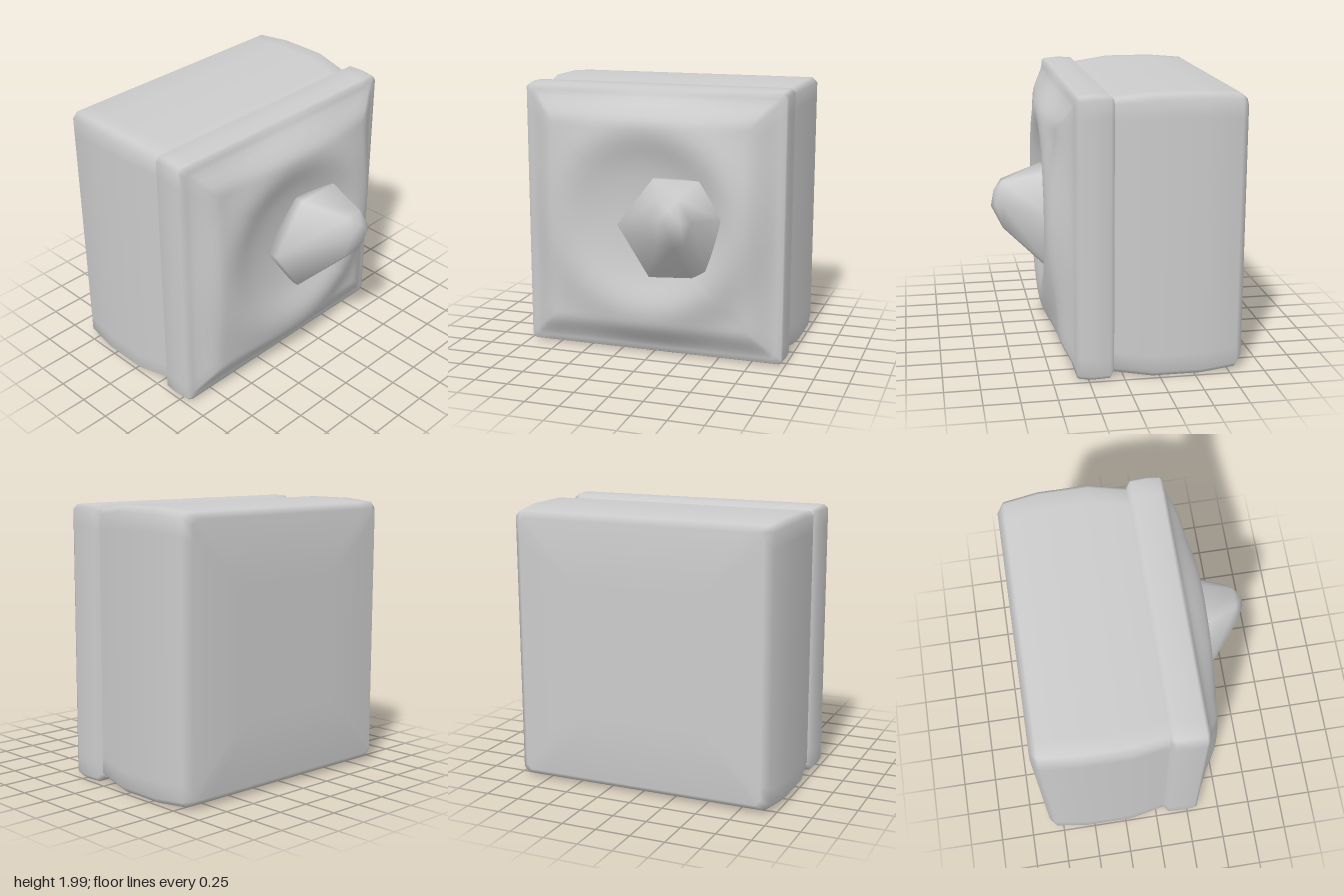
import * as THREE from 'three';
import { ConvexGeometry } from 'three/addons/geometries/ConvexGeometry.js';
import { mergeVertices } from 'three/addons/utils/BufferGeometryUtils.js';

const SIDE = 16; // segments along each side of a square ring
const material = new THREE.MeshStandardMaterial({ color: 0xcccccc, side: THREE.DoubleSide });

// Square ring with clipped corners, counter-clockwise seen from the front
function squareRing(hx, hy, clip) {
  const corners = [[1, -1], [1, 1], [-1, 1], [-1, -1]];
  const points = [];
  corners.forEach(([ax, ay], k) => {
    const [bx, by] = corners[(k + 1) % 4];
    for (let i = 0; i <= SIDE; i++) {
      const t = i / SIDE;
      const s = clip + (1 - 2 * clip) * t;
      points.push([hx * (ax + (bx - ax) * s), 1 + hy * (ay + (by - ay) * s)]);
    }
  });
  return points;
}

// Raised circular rim with a shallow dish inside it
function relief(x, y, inset) {
  const r = Math.hypot(x + 0.02, y - 1.04);
  const rise = 0.1 * THREE.MathUtils.smoothstep(inset, 0, 0.25);
  const rim = (0.065 + 0.035 * x) * Math.exp(-(((r - 0.67) / 0.2) ** 2));
  const dish = 0.05 * Math.exp(-((r / 0.45) ** 2));
  return 0.33 + rise + (rim - dish) * Math.min(1, inset / 0.1);
}

// Skin over a list of rings of equal length
function loft(rings) {
  const n = rings[0].length;
  const index = [];
  for (let i = 0; i < rings.length - 1; i++) {
    for (let j = 0; j < n; j++) {
      const a = i * n + j, b = i * n + (j + 1) % n;
      index.push(a, b, b + n, a, b + n, a + n);
    }
  }
  const geometry = new THREE.BufferGeometry();
  geometry.setAttribute('position', new THREE.Float32BufferAttribute(rings.flat(2), 3));
  geometry.setIndex(index);
  return geometry;
}

function smooth(geometry) {
  geometry.deleteAttribute('normal');
  geometry.deleteAttribute('uv');
  const merged = mergeVertices(geometry, 1e-4);
  merged.computeVertexNormals();
  return merged;
}

function addMesh(group, name, geometry) {
  const mesh = new THREE.Mesh(geometry, material);
  mesh.name = name;
  group.add(mesh);
}

export function createModel() {
  const group = new THREE.Group();
  group.name = 'box';
  const flat = (hx, hy, z, clip = 0.015) => squareRing(hx, hy, clip).map(([x, y]) => [x, y, z]);

  // Bulging body: z, half width, half height, from the back to the groove
  const bodyProfile = [
    [-0.85, 0.003, 0.003], [-0.85, 0.45, 0.46], [-0.85, 0.91, 0.93], [-0.8, 0.965, 0.975],
    [-0.55, 0.995, 0.995], [-0.2, 0.995, 0.995], [0.05, 0.95, 0.965], [0.08, 0.95, 0.96],
  ];
  addMesh(group, 'body', smooth(loft(bodyProfile.map(([z, hx, hy]) => flat(hx, hy, z, 0.02)))));

  // Front panel: edge band, then shrinking rings that follow the relief
  const panel = [flat(0.95, 0.96, 0.07), flat(0.985, 0.99, 0.1), flat(0.99, 0.993, 0.22), flat(0.985, 0.985, 0.31)];
  const RINGS = 28;
  for (let k = 0; k <= RINGS; k++) {
    const f = 1 - 0.997 * k / RINGS;
    panel.push(squareRing(0.975 * f, 0.975 * f, 0.015).map(([x, y]) => [x, y, relief(x, y, 1 - f)]));
  }
  addMesh(group, 'frontPanel', smooth(loft(panel)));

  // Faceted off-centre knob: base outline, shoulder and blunt tip
  const base = [[-0.22, 1], [0.05, 1.355], [0.39, 1.355], [0.57, 1.09], [0.45, 0.7], [0.34, 0.65], [0.02, 0.63]];
  const shoulder = [[0.12, 1.12], [0.19, 1.28], [0.33, 1.29], [0.43, 1.13], [0.38, 0.97], [0.3, 0.94], [0.18, 0.96]];
  const tip = [[0.2, 1.14, 0.82], [0.27, 1.1, 0.85], [0.37, 1.13, 0.825], [0.28, 1.22, 0.83]];
  const knobPoints = [
    ...base.map(([x, y]) => new THREE.Vector3(x, y, 0.35)),
    ...base.map(([x, y]) => new THREE.Vector3(x, y, 0.47)),
    ...shoulder.map(([x, y]) => new THREE.Vector3(x, y, 0.77)),
    ...tip.map((p) => new THREE.Vector3(...p)),
  ];
  addMesh(group, 'knob', smooth(new ConvexGeometry(knobPoints)));

  return group;
}
